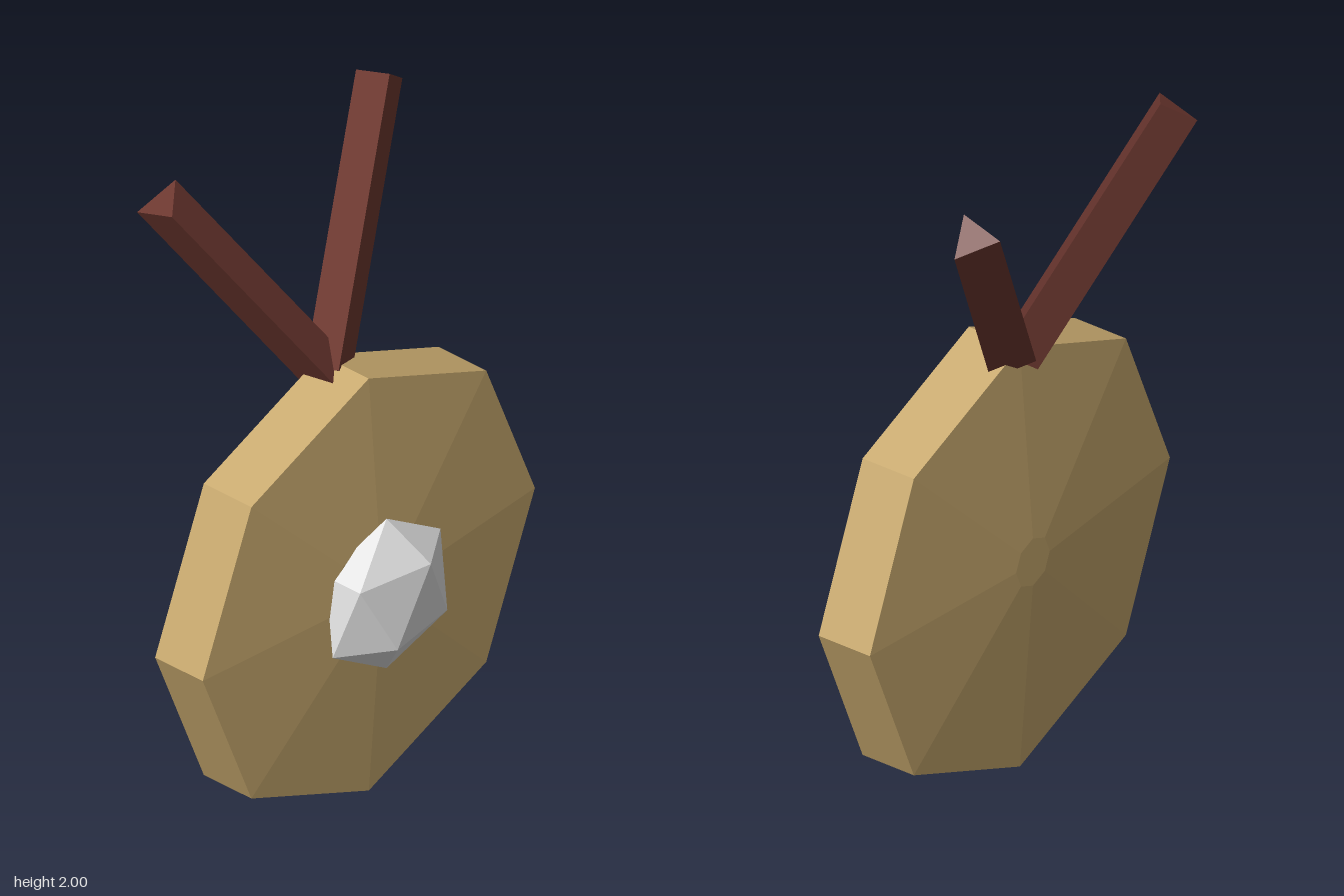
import * as THREE from 'three';
import { ConvexGeometry } from 'three/addons/geometries/ConvexGeometry.js';

const material = (name, color) => {
  const m = new THREE.MeshStandardMaterial({ color });
  m.name = name;
  return m;
};
const V = (x, y, z) => new THREE.Vector3(x, y, z);

// Faceted disc: an eight-sided lathe turned to face the front
function discGeometry() {
  const profile = [[0, -0.095], [0.075, -0.095], [0.667, -0.05], [0.667, 0.127], [0.2, 0.163], [0, 0.163]];
  const lathe = new THREE.LatheGeometry(profile.map(([r, h]) => new THREE.Vector2(r, h)), 8);
  lathe.rotateX(Math.PI / 2);
  const flat = lathe.toNonIndexed();
  flat.computeVertexNormals();
  return flat;
}

// Twenty-sided gem with its poles up and down, flattened in depth
function gemGeometry(r) {
  const points = [V(0, r, 0), V(0, -r, 0)];
  const ring = r * 2 / Math.sqrt(5), h = r / Math.sqrt(5);
  for (let i = 0; i < 5; i++) {
    const a = i * Math.PI * 2 / 5;
    points.push(V(ring * Math.cos(a), h, ring * Math.sin(a) * 0.5));
    points.push(V(-ring * Math.cos(a), -h, ring * Math.sin(a) * 0.5));
  }
  return new ConvexGeometry(points);
}

// Triangular ribbon bar running down from its top triangle towards the disc
function ribbonGeometry(top, side) {
  const run = V(-0.435 * side, -0.665, 0.213);
  return new ConvexGeometry([...top, ...top.map((p) => p.clone().add(run))]);
}

export function createModel() {
  const model = new THREE.Group();
  model.name = 'medal';
  const gold = material('gold', 0xc8a96e);
  const silver = material('silver', 0xe0e0e0);
  const red = material('dark red', 0x6e3830);

  const add = (name, geometry, mat, y = 0, z = 0) => {
    const mesh = new THREE.Mesh(geometry, mat);
    mesh.name = name;
    mesh.position.set(0, y, z);
    model.add(mesh);
  };

  add('disc', discGeometry(), gold, 0.67);
  add('gem', gemGeometry(0.242), silver, 0.67, 0.193);

  // The two bars are turned differently about their own length
  add('leftRibbon', ribbonGeometry([V(0.41, 1.96, -0.3), V(0.51, 1.92, -0.22), V(0.41, 2, -0.175)], 1), red);
  add('rightRibbon', ribbonGeometry([V(-0.38, 2, -0.24), V(-0.48, 1.96, -0.16), V(-0.48, 1.92, -0.29)], -1), red);
  return model;
}
